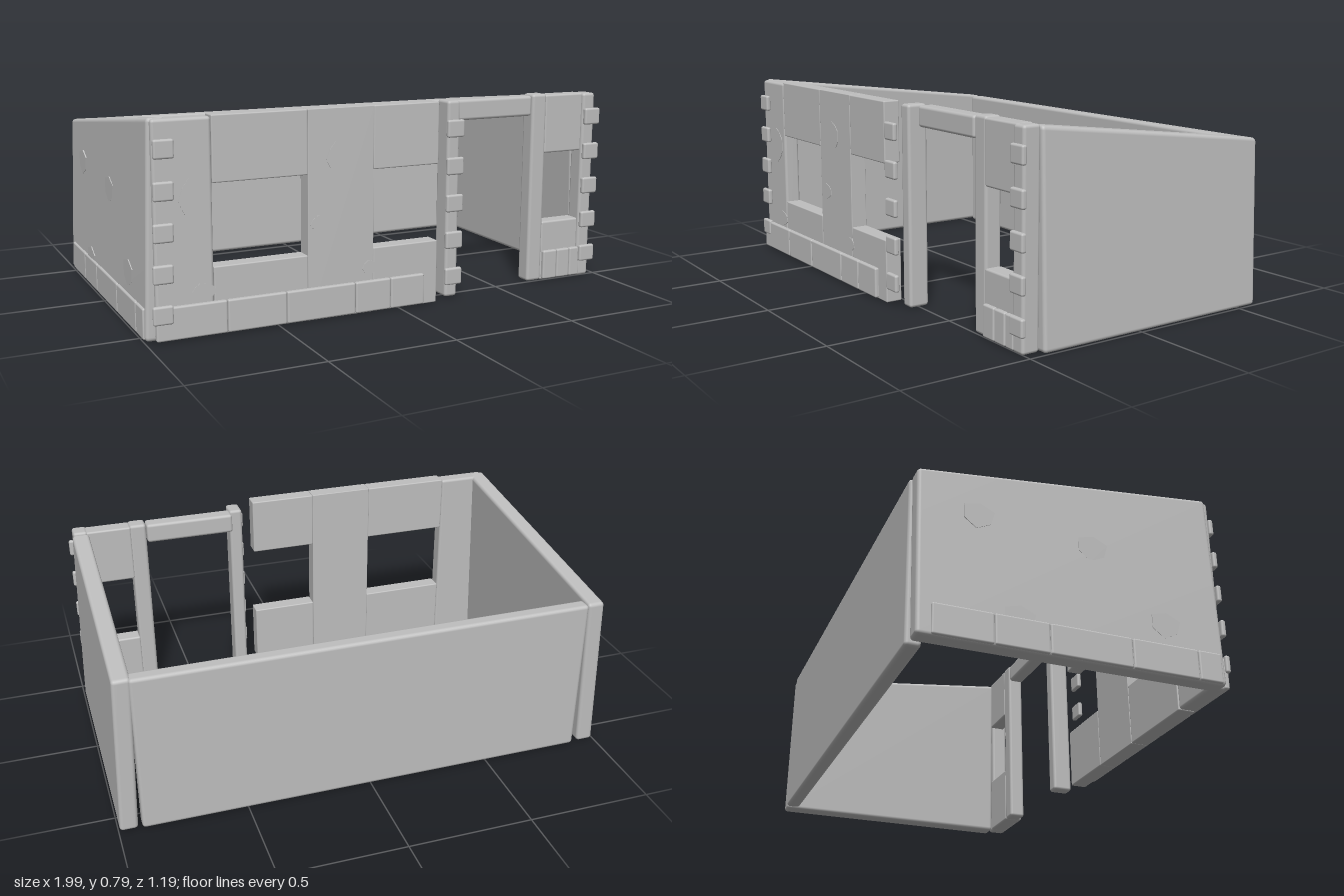
import * as THREE from 'three';
import { RoundedBoxGeometry } from 'three/addons/geometries/RoundedBoxGeometry.js';
import { mergeVertices } from 'three/addons/utils/BufferGeometryUtils.js';

export function createModel() {
  const model = new THREE.Group();
  model.name = 'roomWalls';
  const stone = new THREE.MeshStandardMaterial({ color: 0xbebebe });
  stone.name = 'plain grey stone';

  const add = (name, geometry, parent = model) => {
    const mesh = new THREE.Mesh(geometry, stone);
    mesh.name = name;
    parent.add(mesh);
    return mesh;
  };
  const group = (name) => {
    const g = new THREE.Group();
    g.name = name;
    model.add(g);
    return g;
  };

  // Rounded block given by its extents on each axis
  const block = (name, [x0, x1], [y0, y1], [z0, z1], r, parent) => {
    const g = new RoundedBoxGeometry(x1 - x0, y1 - y0, z1 - z0, 2, r);
    g.translate((x0 + x1) / 2, (y0 + y1) / 2, (z0 + z1) / 2);
    return add(name, g, parent);
  };

  // Side wall: top slopes down to the back, wall leans inwards as it rises
  const sideWall = (name, side, zFront) => {
    const zBack = -0.59;
    let g = new RoundedBoxGeometry(0.07, 0.65, zFront - zBack, 3, 0.014);
    g.translate(side * 0.96, 0.325, (zFront + zBack) / 2);
    const p = g.attributes.position;
    for (let i = 0; i < p.count; i++) {
      const t = p.getY(i) / 0.65;
      const top = 0.65 + (p.getZ(i) - zBack) * 0.122;
      p.setX(i, p.getX(i) - side * 0.025 * t);
      p.setY(i, t * top);
    }
    g.deleteAttribute('normal');
    g.deleteAttribute('uv');
    g = mergeVertices(g);
    g.computeVertexNormals();
    add(name, g);
  };
  sideWall('rightSideWall', -1, 0.56);
  sideWall('leftSideWall', 1, 0.435);
  block('backWall', [-0.9, 0.91], [0, 0.65], [-0.597, -0.538], 0.014);

  // Main front wall, made of piers, sills and lintels around two windows
  const front = group('frontWall');
  const fz = [0.51, 0.577];
  block('cornerPier', [-0.96, -0.745], [0, 0.785], fz, 0.012, front);
  block('middlePier', [-0.38, -0.11], [0, 0.79], fz, 0.003, front);
  for (const [x0, x1] of [[-0.745, -0.38], [-0.11, 0.17]]) {
    block('windowLintel', [x0, x1], [0.55, 0.79], fz, 0.005, front);
    block('windowSill', [x0, x1], [0, 0.25], fz, 0.005, front);
  }

  // Recessed doorway and the narrow window beside it
  const entry = group('entry');
  const ez = [0.427, 0.495];
  block('doorPostRight', [0.232, 0.288], [0, 0.785], [0.457, 0.54], 0.012, entry);
  block('doorLintel', [0.282, 0.657], [0.698, 0.78], ez, 0.012, entry);
  block('doorPostLeft', [0.66, 0.73], [0, 0.785], ez, 0.012, entry);
  block('smallLintel', [0.725, 0.912], [0.54, 0.78], ez, 0.008, entry);
  block('smallSill', [0.725, 0.912], [0, 0.25], ez, 0.008, entry);
  block('entryCornerPier', [0.905, 0.965], [0, 0.78], [0.435, 0.507], 0.012, entry);

  // Columns of small corner stones
  const quoins = group('cornerStones');
  const columns = [[-0.925, 0.577, 0.597], [0.237, 0.577, 0.597], [0.945, 0.503, 0.524]];
  columns.forEach(([x, z0, z1]) => {
    for (let i = 0; i < 5; i++) {
      const y = 0.1 + i * 0.146;
      const shift = x < 0 ? -0.013 + i * 0.004 : 0;
      block('cornerStone', [x + shift - 0.037, x + shift + 0.037],
        [y - 0.034, y + 0.034], [z0, z1], 0.008, quoins);
    }
  });

  // Rows of foundation stones
  const base = group('foundationStones');
  const row = (edges, make) => {
    for (let i = 0; i + 1 < edges.length; i++) make([edges[i] + 0.001, edges[i + 1] - 0.001]);
  };
  row([-0.965, -0.7, -0.47, -0.19, -0.04, 0.107],
    (x) => block('frontBaseStone', x, [0.005, 0.126], [0.57, 0.592], 0.007, base));
  row([0.73, 0.8, 0.865, 0.915],
    (x) => block('entryBaseStone', x, [0.005, 0.126], [0.488, 0.51], 0.007, base));
  row([-0.54, -0.32, -0.12, 0.19, 0.45, 0.545],
    (z) => block('sideBaseStone', [-1, -0.98], [0.005, 0.12], z, 0.007, base));

  // Thin exposed patches on the plaster
  const patches = group('plasterPatches');
  const patch = (rx, ry, sides) => {
    const pts = [];
    for (let i = 0; i < sides; i++) {
      const a = (i / sides) * Math.PI * 2 + 0.4;
      const k = 1 - 0.12 * (i % 2);
      pts.push(new THREE.Vector2(Math.cos(a) * rx * k, Math.sin(a) * ry * k));
    }
    return new THREE.ExtrudeGeometry(new THREE.Shape(pts), { depth: 0.006, bevelEnabled: false });
  };
  for (const [x, y, rx, ry] of [
    [-0.82, 0.5, 0.05, 0.078], [-0.26, 0.605, 0.046, 0.062], [-0.33, 0.365, 0.042, 0.034],
    [-0.125, 0.175, 0.032, 0.03], [-0.785, 0.165, 0.045, 0.034],
  ]) add('frontPatch', patch(rx, ry, 9), patches).position.set(x, y, 0.573);
  for (const [z, y] of [[-0.37, 0.5], [0.06, 0.46], [0.33, 0.2], [-0.23, 0.12]]) {
    const m = add('sidePatch', patch(0.065, 0.055, 6), patches);
    m.position.set(-0.992 + y * 0.035, y, z);
    m.rotation.y = -Math.PI / 2;
  }
  return model;
}
